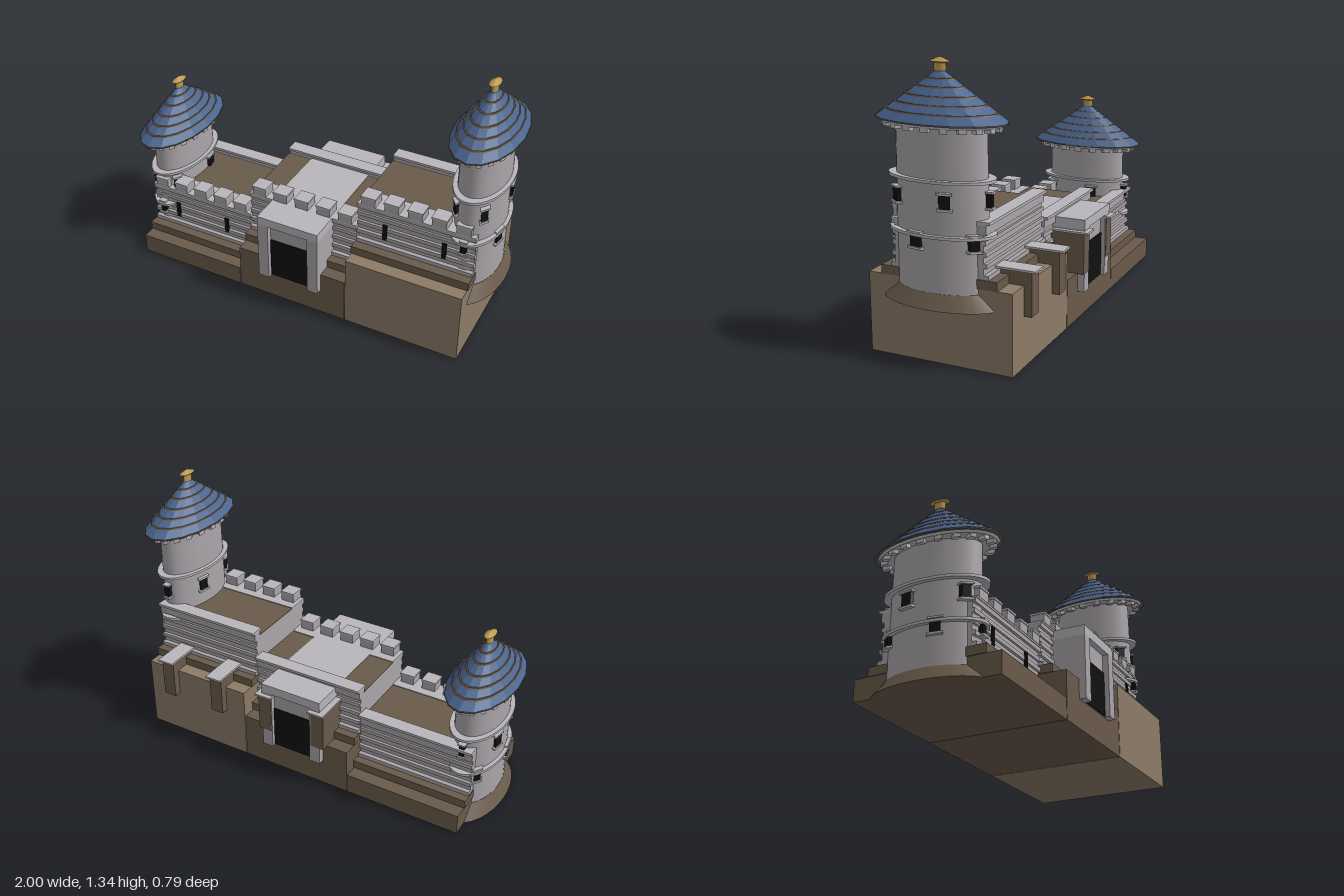
import * as THREE from 'three';

const mat = (name, color, extra = {}) => {
  const m = new THREE.MeshStandardMaterial({ color, ...extra });
  m.name = name;
  return m;
};

const CZ = 0.012; // centre line of walls and towers

export function createModel() {
  const stone = mat('stone', 0xaaa5a9);
  const trim = mat('paleStone', 0xb8b6ba);
  const brown = mat('brownEarth', 0x6a5b4b);
  const tan = mat('tanRock', 0x8c7b67);
  const blue = mat('blueRoof', 0x4a6590, { flatShading: true });
  const gold = mat('gold', 0xb8984c);
  const dark = mat('darkOpening', 0x111111);

  const castle = new THREE.Group();
  castle.name = 'castle';

  const add = (parent, name, geo, material, x = 0, y = 0, z = 0) => {
    const m = new THREE.Mesh(geo, material);
    m.name = name;
    m.position.set(x, y, z);
    parent.add(m);
    return m;
  };
  // Box given by its min and max on each axis
  const box = (parent, name, material, x0, x1, y0, y1, z0, z1) =>
    add(parent, name, new THREE.BoxGeometry(x1 - x0, y1 - y0, z1 - z0), material,
      (x0 + x1) / 2, (y0 + y1) / 2, (z0 + z1) / 2);

  // One stretch of wall on its terrace
  function section(name, x0, x1, baseTop, baseMat, slits) {
    const g = new THREE.Group();
    g.name = name;
    castle.add(g);
    const mid = (x0 + x1) / 2;
    const foot = baseTop + 0.042;
    const top = foot + 0.215;
    box(g, 'terrace', baseMat, x0, x1, 0, baseTop, -0.341, 0.36);
    box(g, 'plinth', brown, x0 - 0.004, x1 + 0.004, baseTop, foot, -0.272, 0.293);
    box(g, 'wall', stone, x0, x1, foot, top, -0.208, 0.222);
    // Projecting stone courses
    for (const [h, d] of [[0.0, 0.022], [0.05, 0.016], [0.1, 0.013], [0.15, 0.01], [0.195, 0.014]]) {
      box(g, 'stoneCourse', stone, x0, x1, foot + h, foot + h + 0.02, -0.208 - d, 0.222 + d);
    }
    // Walkway, parapets and merlons
    box(g, 'walkway', brown, x0, x1, top, top + 0.004, -0.168, 0.122);
    box(g, 'frontParapet', trim, x0, x1, top, top + 0.008, 0.122, 0.24);
    box(g, 'backParapet', stone, x0, x1, top, top + 0.025, -0.222, -0.176);
    box(g, 'backCoping', trim, x0, x1, top + 0.025, top + 0.038, -0.237, -0.165);
    for (let i = -2; i <= 2; i++) {
      const x = mid + i * 0.119;
      box(g, 'merlon', stone, x - 0.036, x + 0.036, top + 0.008, top + 0.05, 0.168, 0.242);
      box(g, 'merlonCap', trim, x - 0.039, x + 0.039, top + 0.05, top + 0.06, 0.165, 0.246);
    }
    // Arrow slits
    for (const dx of slits) {
      box(g, 'arrowSlit', dark, mid + dx - 0.011, mid + dx + 0.011, foot + 0.055, foot + 0.14, 0.233, 0.241);
    }
  }
  section('lowWall', -0.893, -0.302, 0.102, brown, [-0.15, 0.15]);
  section('middleWall', -0.298, 0.294, 0.237, brown, []);
  section('highWall', 0.298, 0.89, 0.374, tan, [-0.15, 0.15]);

  // Gatehouse running through the middle wall
  const gate = new THREE.Group();
  gate.name = 'gatehouse';
  castle.add(gate);
  box(gate, 'gateCore', stone, -0.15, 0.15, 0.142, 0.46, -0.35, 0.364);
  box(gate, 'gateRoof', trim, -0.165, 0.165, 0.455, 0.502, -0.375, 0.394);
  box(gate, 'gateDoorway', dark, -0.108, 0.108, 0.143, 0.362, -0.356, 0.37);
  for (const s of [-1, 1]) {
    const xs = [s * 0.108, s * 0.165].sort((a, b) => a - b);
    box(gate, 'gateJamb', stone, xs[0], xs[1], 0.14, 0.455, -0.375, 0.394);
  }

  // Capped buttresses along the back
  for (const x of [-0.152, 0.147, 0.443, 0.743]) {
    box(castle, 'buttress', brown, x - 0.035, x + 0.035, 0.235, 0.437, -0.378, -0.2);
    box(castle, 'buttressCap', trim, x - 0.043, x + 0.043, 0.437, 0.447, -0.398, -0.2);
  }

  // Oval tower: built round, then squeezed along x
  function tower(name, x, y, h) {
    const t = new THREE.Group();
    t.name = name;
    t.position.set(x, y, CZ);
    t.scale.x = 0.515;
    castle.add(t);
    add(t, 'towerSkirt', new THREE.CylinderGeometry(0.222, 0.29, 0.066, 32), brown, 0, 0.033);
    add(t, 'towerBody', new THREE.CylinderGeometry(0.212, 0.22, h - 0.06, 40), stone, 0, (h + 0.06) / 2);
    for (const k of [0.4, 0.7]) {
      add(t, 'towerBand', new THREE.CylinderGeometry(0.252, 0.252, 0.013, 40), trim, 0, k * h);
    }
    // Two rows of five windows, staggered
    for (const [k, start] of [[0.37, 18], [0.595, 54]]) {
      for (let i = 0; i < 5; i++) {
        const a = THREE.MathUtils.degToRad(start + i * 72);
        const w = new THREE.Group();
        w.name = 'towerWindow';
        w.position.set(Math.cos(a) * 0.226, k * h, Math.sin(a) * 0.226);
        w.rotation.y = Math.PI / 2 - a;
        t.add(w);
        box(w, 'windowOpening', dark, -0.026, 0.026, -0.03, 0.03, -0.02, 0.012);
        box(w, 'windowSill', trim, -0.037, 0.037, -0.041, -0.03, -0.02, 0.02);
        box(w, 'windowLintel', trim, -0.037, 0.037, 0.03, 0.039, -0.02, 0.02);
      }
    }
    // Cornice with small blocks under the eaves
    add(t, 'cornice', new THREE.CylinderGeometry(0.295, 0.285, 0.016, 32), trim, 0, h - 0.002);
    for (let i = 0; i < 20; i++) {
      const a = (i / 20) * Math.PI * 2;
      const d = add(t, 'corniceBlock', new THREE.BoxGeometry(0.036, 0.02, 0.036), trim,
        Math.cos(a) * 0.262, h - 0.018, Math.sin(a) * 0.262);
      d.rotation.y = Math.PI / 2 - a;
    }
    // Roof cone with brown rings
    const eave = h + 0.006;
    add(t, 'roof', new THREE.CylinderGeometry(0.012, 0.312, 0.208, 16), blue, 0, eave + 0.104);
    add(t, 'eaveRing', new THREE.CylinderGeometry(0.312, 0.312, 0.006, 16), brown, 0, eave - 0.001);
    for (const dy of [0.037, 0.07, 0.103, 0.139, 0.171]) {
      const r = 0.312 - dy * 1.442 + 0.009;
      add(t, 'roofRing', new THREE.CylinderGeometry(r - 0.005, r, 0.007, 16), brown, 0, eave + dy);
    }
    // Golden finial
    add(t, 'finialStem', new THREE.CylinderGeometry(0.027, 0.03, 0.042, 12), gold, 0, eave + 0.222);
    add(t, 'finialCap', new THREE.CylinderGeometry(0.004, 0.051, 0.019, 12), gold, 0, eave + 0.25);
    add(t, 'finialCapUnder', new THREE.CylinderGeometry(0.051, 0.03, 0.006, 12), gold, 0, eave + 0.238);
  }
  tower('leftTower', -0.838, 0, 0.65);
  tower('rightTower', 0.837, 0.28, 0.792);

  return castle;
}
